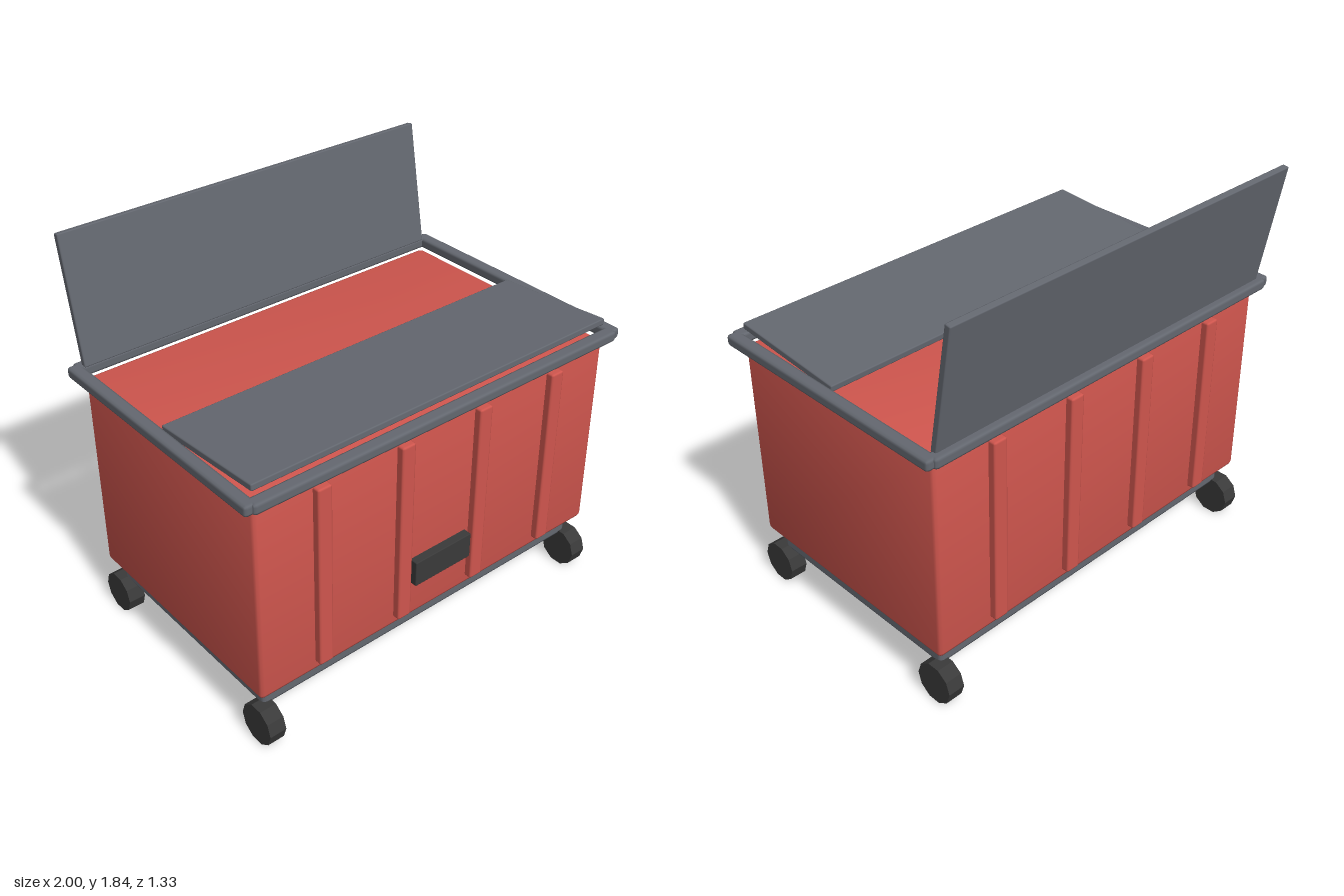
import * as THREE from 'three';
import { RoundedBoxGeometry } from 'three/addons/geometries/RoundedBoxGeometry.js';

const material = (name, color) => {
  const m = new THREE.MeshStandardMaterial({ color });
  m.name = name;
  return m;
};

export function createModel() {
  const red = material('red plastic', 0xd0564e);
  const grey = material('grey plastic', 0x646870);
  const dark = material('dark rubber', 0x3a3a3a);
  const group = new THREE.Group();
  group.name = 'wheeledBin';

  const add = (name, geometry, mat, x, y, z) => {
    const mesh = new THREE.Mesh(geometry, mat);
    mesh.name = name;
    mesh.position.set(x, y, z);
    group.add(mesh);
    return mesh;
  };
  // Box with a narrow bevel along every edge
  const block = (name, mat, size, pos, bevel) =>
    add(name, new RoundedBoxGeometry(...size, 1, bevel), mat, ...pos);

  const midZ = 0.035;

  // Container, with normals leaning softly outward at the corners
  const body = block('body', red, [1.88, 0.96, 1.16], [0, 0.745, midZ], 0.018);
  const p = body.geometry.attributes.position;
  const n = body.geometry.attributes.normal;
  const v = new THREE.Vector3();
  for (let i = 0; i < p.count; i++) {
    v.set(
      n.getX(i) + 0.13 * Math.sign(p.getX(i)),
      n.getY(i) + 0.13 * Math.sign(p.getY(i)),
      n.getZ(i) + 0.13 * Math.sign(p.getZ(i))
    ).normalize();
    n.setXYZ(i, v.x, v.y, v.z);
  }

  // Vertical ribs on the front and back
  for (const side of [1, -1]) {
    for (const x of [-0.63, -0.21, 0.21, 0.63]) {
      block(side > 0 ? 'frontRib' : 'backRib', red, [0.07, 0.88, 0.07],
        [x, 0.75, midZ + side * 0.579], 0.01);
    }
  }

  // Front plate
  block('frontPlate', dark, [0.314, 0.124, 0.05], [0, 0.515, 0.629], 0.005);

  // Rim rails around the opening
  for (const side of [1, -1]) {
    block('sideRail', grey, [0.06, 0.05, 1.24], [side * 0.97, 1.253, midZ], 0.014);
    block('endRail', grey, [1.935, 0.05, 0.06], [0, 1.253, midZ + side * 0.602], 0.014);
  }

  // Two lid halves: front nearly closed, back swung open
  const frontLid = block('frontLid', grey, [1.88, 0.03, 0.58], [0, 1.291, 0.325], 0.006);
  frontLid.rotation.x = -0.075;
  const backLid = block('backLid', grey, [1.88, 0.575, 0.03], [0, 1.553, -0.599], 0.006);
  backLid.rotation.x = -0.174;

  // Base tray under the container
  block('base', grey, [1.79, 0.08, 1.055], [0, 0.2, midZ], 0.02);

  // Faceted wheels at the four corners
  const wheel = new THREE.CylinderGeometry(0.095, 0.095, 0.08, 10).toNonIndexed();
  wheel.computeVertexNormals();
  wheel.rotateZ(Math.PI / 2);
  for (const x of [-0.896, 0.896]) {
    for (const z of [0.565, -0.493]) add('wheel', wheel, dark, x, 0.0904, z);
  }

  return group;
}
